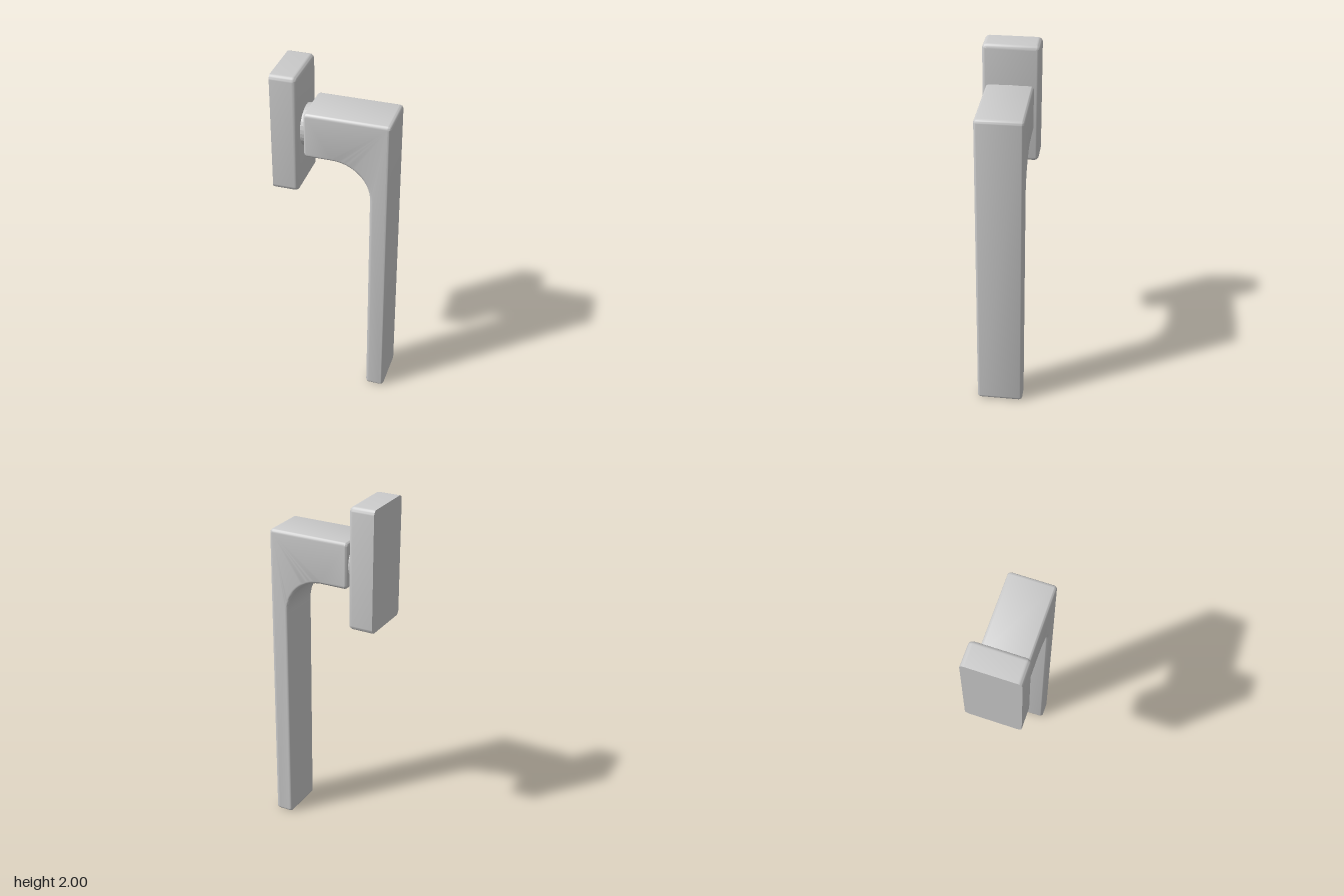
import * as THREE from 'three';
import { toCreasedNormals } from 'three/addons/utils/BufferGeometryUtils.js';

const material = new THREE.MeshStandardMaterial({ color: 0xcccccc });

// Outline from corners [x, y, radius], each rounded by an arc tangent to both edges (right angles only)
function roundedOutline(corners, steps = 6) {
  const points = [];
  corners.forEach(([x, y, r], i) => {
    const p = new THREE.Vector2(x, y);
    const towards = (c) => new THREE.Vector2(c[0], c[1]).sub(p).normalize();
    const a = towards(corners.at(i - 1));
    const b = towards(corners[(i + 1) % corners.length]);
    const n = r > 0.1 ? steps * 4 : steps;
    for (let k = 0; k <= n; k++) {
      const t = (k / n) * Math.PI / 2;
      points.push(p.clone()
        .addScaledVector(a, r * (1 - Math.sin(t)))
        .addScaledVector(b, r * (1 - Math.cos(t))));
    }
  });
  return new THREE.Shape(points);
}

// Extrusion that keeps the outline's full size and rounds its rims
function softExtrude(shape, thickness, bevel) {
  return new THREE.ExtrudeGeometry(shape, {
    depth: thickness - 2 * bevel, bevelEnabled: true, bevelThickness: bevel,
    bevelSize: bevel, bevelOffset: -bevel, bevelSegments: 6,
  });
}

function addMesh(group, name, geometry, mat = material) {
  const mesh = new THREE.Mesh(geometry, mat);
  mesh.name = name;
  group.add(mesh);
  return mesh;
}

export function createModel() {
  const group = new THREE.Group();
  group.name = 'windowHandle';

  // Mounting plate: rounded towards the handle, flat and sharp at the wall
  const pr = 0.026, pb = 0.025, pw = 0.157;
  const plate = softExtrude(roundedOutline([
    [-pw, 1.32, pr], [pw, 1.32, pr], [pw, 2, pr], [-pw, 2, pr],
  ]), 0.145 + pb, pb);
  const pos = plate.attributes.position;
  for (let i = 0; i < pos.count; i++) pos.setZ(i, Math.max(pos.getZ(i), 0));
  plate.rotateY(Math.PI / 2).translate(-0.32, 0, 0);
  addMesh(group, 'mountingPlate', toCreasedNormals(plate, 0.6));

  // Round neck between plate and handle
  const neckMaterial = material.clone();
  neckMaterial.flatShading = true;
  const neck = new THREE.CylinderGeometry(0.115, 0.115, 0.05, 32);
  neck.rotateZ(Math.PI / 2).translate(-0.163, 1.66, 0);
  addMesh(group, 'neck', neck, neckMaterial);

  // L-shaped lever with a large fillet inside the bend
  const r = 0.021, b = 0.02, width = 0.262;
  const lever = softExtrude(roundedOutline([
    [-0.153, 1.53, r], [0.212, 1.53, 0.21], [0.212, 0, r],
    [0.32, 0, r], [0.32, 1.79, r], [-0.153, 1.79, r],
  ]), width, b);
  lever.translate(0, 0, b - width / 2);
  addMesh(group, 'lever', toCreasedNormals(lever, 0.6));

  return group;
}
